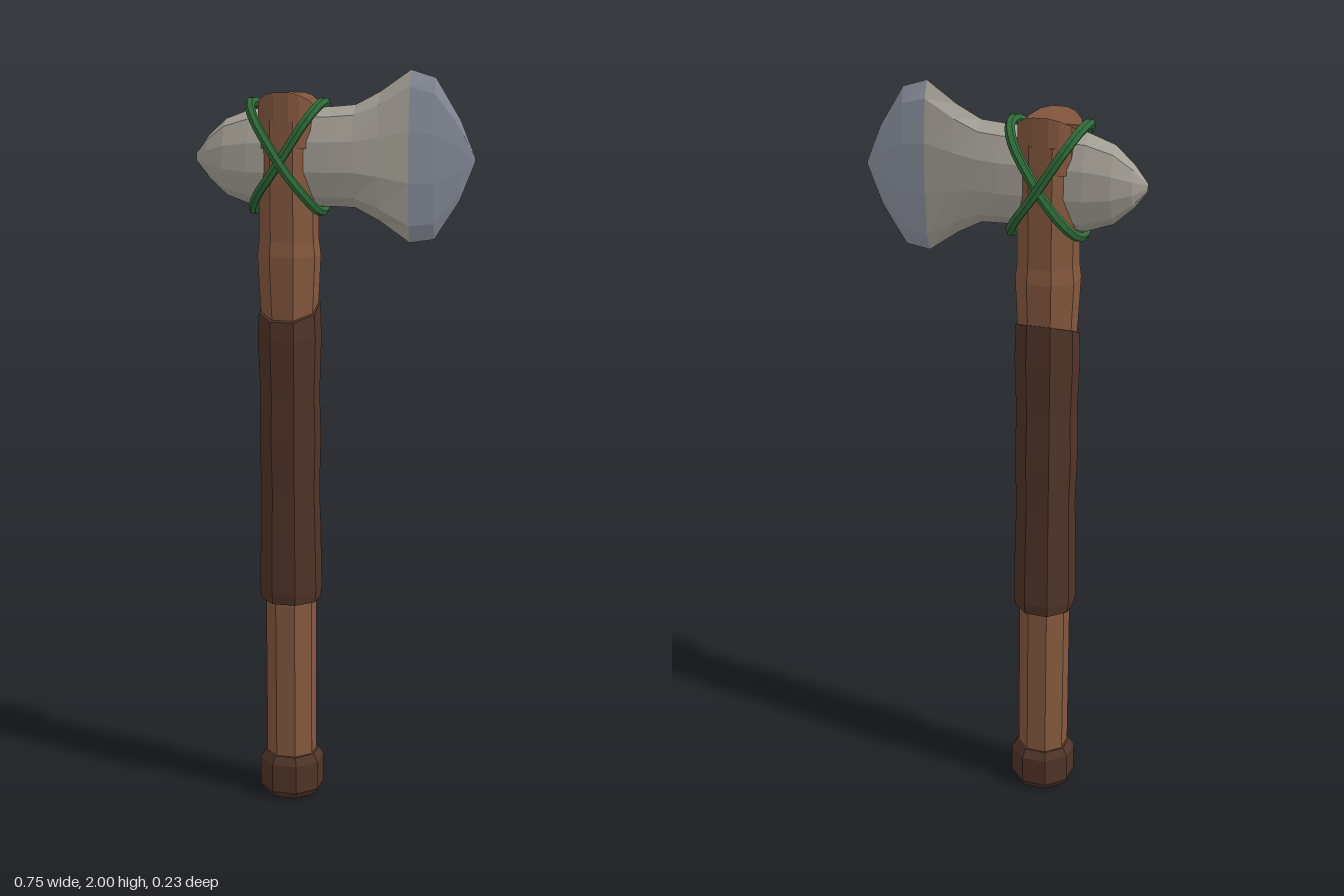
import * as THREE from 'three';

const AXIS = -0.12; // x of the handle axis
const flat = (color, name) => {
  const m = new THREE.MeshStandardMaterial({ color, flatShading: true });
  m.name = name;
  return m;
};

// Eight-sided turned part with flat faces to front and sides
function turned(name, profile, material) {
  const pts = profile.map(([r, y]) => new THREE.Vector2(r, y));
  const geo = new THREE.LatheGeometry(pts, 8, Math.PI / 8);
  const mesh = new THREE.Mesh(geo, material);
  mesh.name = name;
  mesh.position.x = AXIS;
  return mesh;
}

// Stone head lofted along x: [x, top, bottom, half depth]
function headGeometry() {
  const sections = [
    [-0.375, 1.785, 1.765, 0.002], [-0.34, 1.83, 1.72, 0.027], [-0.29, 1.875, 1.675, 0.043],
    [-0.22, 1.9, 1.65, 0.051], [-0.12, 1.905, 1.65, 0.052], [0, 1.907, 1.65, 0.051],
    [0.06, 1.912, 1.648, 0.046], [0.125, 1.945, 1.615, 0.038], [0.205, 2.0, 1.56, 0.029],
    [0.27, 1.98, 1.57, 0.02], [0.335, 1.875, 1.67, 0.009], [0.375, 1.78, 1.77, 0.001],
  ];
  const ring = [[0, 1], [0.62, 0.8], [1, 0.3], [1, -0.3], [0.62, -0.8],
    [0, -1], [-0.62, -0.8], [-1, -0.3], [-1, 0.3], [-0.62, 0.8]];
  const n = ring.length, pos = [], idx = [];
  for (const [x, top, bottom, d] of sections)
    for (const [z, y] of ring) pos.push(x, (top + bottom) / 2 + y * (top - bottom) / 2, z * d);
  let split = 0;
  for (let s = 0; s < sections.length - 1; s++) {
    if (sections[s][0] === 0.205) split = idx.length;
    for (let i = 0; i < n; i++) {
      const a = s * n + i, b = s * n + (i + 1) % n;
      idx.push(a, b, a + n, b, b + n, a + n);
    }
  }
  const geo = new THREE.BufferGeometry();
  geo.setAttribute('position', new THREE.Float32BufferAttribute(pos, 3));
  geo.setIndex(idx);
  geo.addGroup(0, split, 0);
  geo.addGroup(split, idx.length - split, 1);
  geo.computeVertexNormals();
  return geo;
}

// One half of the split handle top, its upper face sloping down to the slot
function prongGeometry() {
  const shape = new THREE.Shape([[-0.074, 0.027], [0.074, 0.027], [0.07, 0.043], [0.045, 0.065],
    [0.02, 0.074], [-0.02, 0.074], [-0.045, 0.065], [-0.07, 0.043]].map(p => new THREE.Vector2(...p)));
  const geo = new THREE.ExtrudeGeometry(shape, { depth: 0.14, bevelEnabled: false });
  geo.rotateX(-Math.PI / 2);
  const p = geo.attributes.position;
  for (let i = 0; i < p.count; i++) {
    const inset = -p.getZ(i);
    if (p.getY(i) > 0.1) p.setY(i, 0.11 + (inset - 0.027) * 0.7);
  }
  geo.computeVertexNormals();
  return geo;
}

// Closed diagonal binding; side = 1 climbs to the left of the picture plane, -1 mirrors it
function strapGeometry(side) {
  const half = [[-0.093, 1.913, 0.035], [-0.068, 1.872, 0.083], [-0.015, 1.79, 0.098],
    [0.015, 1.745, 0.098], [0.063, 1.682, 0.083], [0.088, 1.643, 0.035]];
  const back = half.map(([x, y, z]) => [x, y, -z]).reverse();
  const pts = [...half, ...back].map(([x, y, z]) => new THREE.Vector3(AXIS + x * side, y, z + side * 0.003 * Math.sign(z)));
  return new THREE.TubeGeometry(new THREE.CatmullRomCurve3(pts, true), 40, 0.013, 6, true);
}

export function createModel() {
  const wood = flat(0x85583f, 'wood');
  const leather = flat(0x503428, 'dark leather');
  const stone = flat(0xa8a399, 'stone');
  const edge = flat(0x8d93a1, 'sharpened stone');
  const green = flat(0x2f6b39, 'green cord');

  const model = new THREE.Group();
  model.name = 'stoneAxe';
  const add = (name, geo, mat) => {
    const mesh = new THREE.Mesh(geo, mat);
    mesh.name = name;
    model.add(mesh);
    return mesh;
  };

  // Handle and its split top
  model.add(turned('handle', [[0, 0.05], [0.07, 0.05], [0.07, 0.6], [0.072, 1.3], [0.079, 1.4],
    [0.085, 1.52], [0.08, 1.56], [0.08, 1.87], [0, 1.87]], wood));
  for (const side of [1, -1]) {
    const prong = add(side > 0 ? 'frontProng' : 'backProng', prongGeometry(), wood);
    prong.position.set(AXIS, 1.8, 0);
    prong.rotation.y = side > 0 ? Math.PI : 0;
  }

  // Grip wrap, with its upper end cut at a slant
  const grip = turned('gripWrap', [[0.06, 0.58], [0.082, 0.57], [0.086, 0.6], [0.083, 0.78], [0.08, 0.88],
    [0.084, 1.02], [0.081, 1.15], [0.086, 1.3], [0.083, 1.38], [0.06, 1.385]], leather);
  const p = grip.geometry.attributes.position;
  for (let i = 0; i < p.count; i++)
    if (p.getY(i) > 1.35) p.setY(i, p.getY(i) - p.getZ(i) * 0.4);
  model.add(grip);

  // Pommel
  model.add(turned('pommel', [[0, 0], [0.076, 0], [0.09, 0.02], [0.09, 0.1], [0.076, 0.122], [0, 0.122]], leather));

  // Head and crossed bindings
  add('axeHead', headGeometry(), [stone, edge]);
  add('bindingLeft', strapGeometry(1), green);
  add('bindingRight', strapGeometry(-1), green);
  return model;
}
